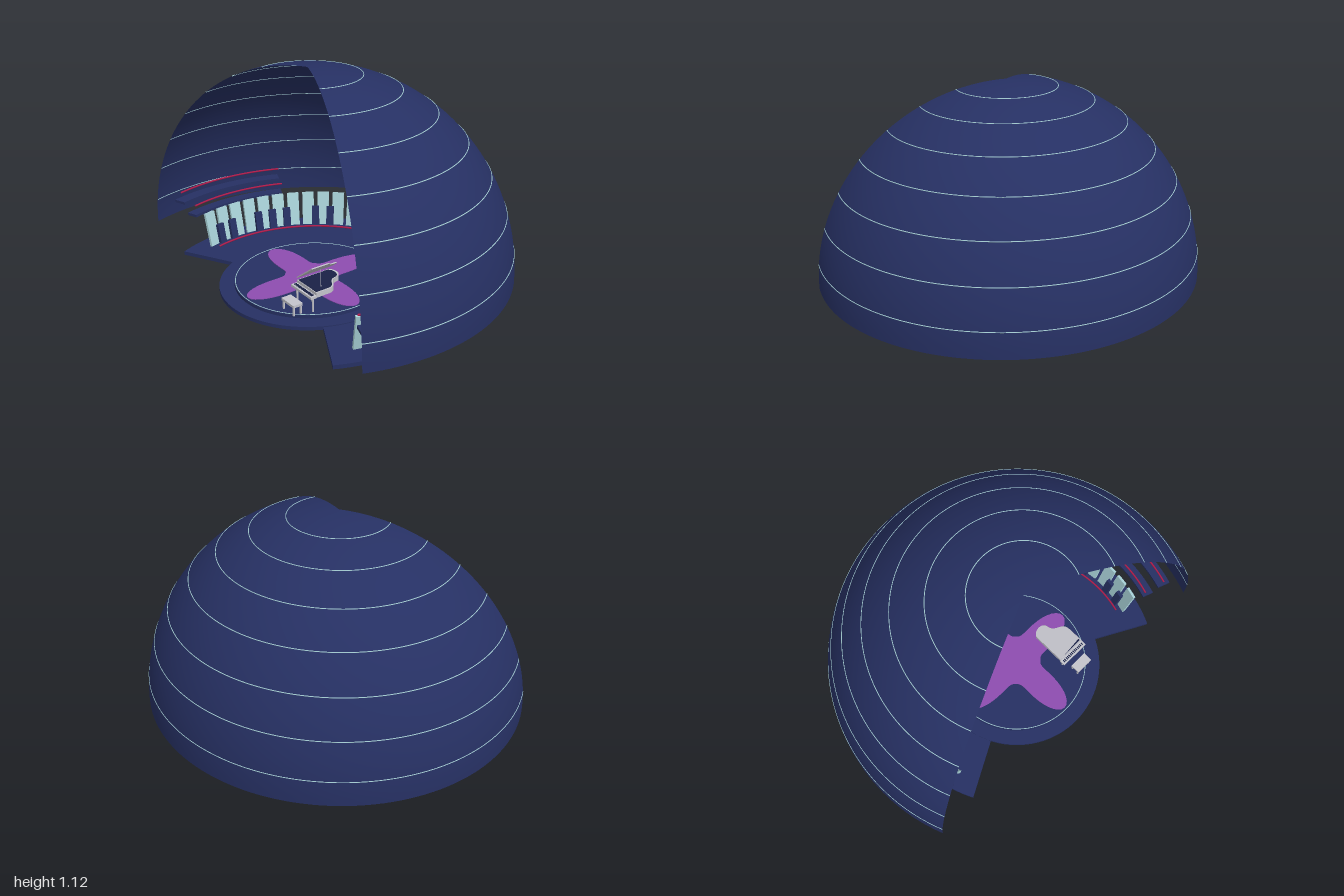
import * as THREE from 'three';

const rad = THREE.MathUtils.degToRad;

function mat(name, color, side = THREE.FrontSide) {
  const m = new THREE.MeshStandardMaterial({ color, side });
  m.name = name;
  return m;
}

export function createModel() {
  const navy = mat('navy', 0x263063);
  const shellNavy = mat('navy shell', 0x263063, THREE.DoubleSide);
  const paleBlue = mat('pale blue', 0xa9d3d9);
  const crimson = mat('crimson', 0xb01c4c);
  const purple = mat('purple', 0x8e4db0);
  const grey = mat('light grey', 0xc4c4cc);
  const dark = mat('dark navy', 0x1a2146);

  const hall = new THREE.Group();
  hall.name = 'concertHall';
  hall.position.z = 0.267;

  function add(parent, name, geometry, material, x = 0, y = 0, z = 0) {
    const mesh = new THREE.Mesh(geometry, material);
    mesh.name = name;
    mesh.position.set(x, y, z);
    parent.add(mesh);
    return mesh;
  }

  // Flat shape extruded upwards; shape y points to the back
  function plate(shape, height) {
    return new THREE.ExtrudeGeometry(shape, { depth: height, bevelEnabled: false, curveSegments: 48 }).rotateX(-Math.PI / 2);
  }

  // Ring sector; angles run from +x (0) over the back (90) to -x (180)
  function sector(inner, outer, from, to, height) {
    const s = new THREE.Shape();
    s.absarc(0, 0, outer, rad(from), rad(to), false);
    if (inner > 0) s.absarc(0, 0, inner, rad(to), rad(from), true);
    else s.lineTo(0, 0);
    return plate(s, height);
  }

  // Thin round rail along the same angles
  function rail(radius, tube, from, to) {
    return new THREE.TorusGeometry(radius, tube, 6, 120, rad(to - from)).rotateZ(rad(from)).rotateX(-Math.PI / 2);
  }

  // Dome shell with a wide opening at the front
  const arc = [];
  for (let i = 0; i <= 40; i++) {
    const a = (i / 40) * Math.PI / 2;
    arc.push(new THREE.Vector2(Math.max(Math.cos(a), 0.0001), Math.sin(a)));
  }
  add(hall, 'domeShell', new THREE.LatheGeometry(arc, 96, rad(67), rad(226)), shellNavy, 0, 0.12, 0);

  // Light lines around the dome
  for (let i = 0; i < 7; i++) {
    const e = rad(7.5 + 11.25 * i);
    add(hall, 'domeLightLine', rail(Math.cos(e), 0.0022, -23, 203), paleBlue, 0, 0.12 + Math.sin(e), 0);
  }

  // Floor and round stage
  add(hall, 'floor', sector(0, 0.77, -28, 208, 0.02), navy);
  add(hall, 'stageStep', new THREE.CylinderGeometry(0.46, 0.46, 0.018, 96), navy, 0, 0.016, 0);
  add(hall, 'stage', new THREE.CylinderGeometry(0.385, 0.385, 0.035, 96), navy, 0, 0.0245, 0);
  add(hall, 'stageLightLine', rail(0.38, 0.002, 0, 360), paleBlue, 0, 0.042, 0);

  // Four-petal inlay on the stage
  const petals = [];
  for (let i = 0; i < 128; i++) {
    const a = (i / 128) * Math.PI * 2;
    const r = 0.135 + 0.235 * Math.pow((1 + Math.cos(4 * a)) / 2, 1.8);
    petals.push(new THREE.Vector2(r * Math.cos(a), r * Math.sin(a)));
  }
  add(hall, 'petalInlay', plate(new THREE.Shape(petals), 0.003), purple, 0, 0.042, 0);

  // Curved wall of tall panels with short dark panels between them
  const wall = new THREE.Group();
  wall.name = 'panelWall';
  hall.add(wall);
  const panelGeo = new THREE.BoxGeometry(0.065, 0.186, 0.014).translate(0, 0.093, 0);
  const shortGeo = new THREE.BoxGeometry(0.04, 0.105, 0.02).translate(0, 0.0525, 0);
  const count = 31, first = 73.5, pitch = 7.1;
  function stand(name, geo, material, angle, radius, y) {
    const holder = new THREE.Group();
    holder.rotation.y = rad(angle);
    wall.add(holder);
    add(holder, name, geo, material, 0, y, radius).rotation.x = 0.2;
  }
  for (let i = 0; i < count; i++) {
    const angle = first + pitch * i;
    stand('tallPanel', panelGeo, paleBlue, angle, 0.672, 0.025);
    if (i < count - 1 && i % 7 !== 2 && i % 7 !== 6) {
      stand('shortPanel', shortGeo, navy, angle + pitch / 2, 0.655, 0.03);
    }
  }
  add(wall, 'wallBaseLine', rail(0.64, 0.005, -17, 197), crimson, 0, 0.025, 0);

  // Two balcony tiers on each side
  for (const from of [-20, 158]) {
    const to = from + 42;
    add(hall, 'lowerBalcony', sector(0.76, 0.82, from, to, 0.014), navy, 0, 0.18, 0);
    add(hall, 'lowerBalconyRail', rail(0.765, 0.005, from, to), crimson, 0, 0.246, 0);
    add(hall, 'upperBalcony', sector(0.84, 0.91, from, to, 0.014), navy, 0, 0.236, 0);
    add(hall, 'upperBalconyRail', rail(0.865, 0.005, from, to), crimson, 0, 0.3, 0);
  }

  // Grand piano with its lid propped open
  const piano = new THREE.Group();
  piano.name = 'grandPiano';
  piano.position.set(0.15, 0.042, 0.215);
  hall.add(piano);
  const outline = new THREE.Shape();
  outline.moveTo(0, 0);
  outline.lineTo(0.16, 0);
  outline.lineTo(0.16, 0.07);
  outline.bezierCurveTo(0.16, 0.13, 0.095, 0.11, 0.085, 0.17);
  outline.bezierCurveTo(0.08, 0.21, 0.01, 0.21, 0, 0.18);
  outline.closePath();
  add(piano, 'pianoBody', plate(outline, 0.026), grey, 0, 0.076, -0.03);
  add(piano, 'pianoSoundboard', plate(outline, 0.002), dark, 0.006, 0.102, -0.034).scale.set(0.92, 1, 0.92);
  add(piano, 'pianoLid', plate(outline, 0.005), grey, 0, 0.112, -0.03).rotation.z = 0.65;
  add(piano, 'lidProp', new THREE.CylinderGeometry(0.002, 0.002, 0.09, 6), grey, 0.125, 0.146, -0.08);
  add(piano, 'keyShelf', new THREE.BoxGeometry(0.166, 0.012, 0.032), grey, 0.08, 0.082, -0.014);
  for (let i = 0; i < 14; i++) {
    add(piano, 'darkKey', new THREE.BoxGeometry(0.005, 0.004, 0.014), dark, 0.011 + i * 0.0106, 0.09, -0.014);
  }
  for (const [x, z] of [[0.015, -0.02], [0.145, -0.02], [0.04, -0.18]]) {
    add(piano, 'pianoLeg', new THREE.CylinderGeometry(0.006, 0.005, 0.078, 8), grey, x, 0.039, z);
  }

  // Piano bench
  const bench = new THREE.Group();
  bench.name = 'pianoBench';
  bench.position.set(0.23, 0.042, 0.268);
  hall.add(bench);
  add(bench, 'benchSeat', new THREE.BoxGeometry(0.1, 0.013, 0.052), grey, 0, 0.05, 0);
  for (const x of [-0.042, 0.042]) {
    for (const z of [-0.019, 0.019]) {
      add(bench, 'benchLeg', new THREE.BoxGeometry(0.008, 0.045, 0.008), grey, x, 0.0225, z);
    }
  }

  const model = new THREE.Group();
  model.name = 'openDomeConcertHall';
  model.add(hall);
  return model;
}
